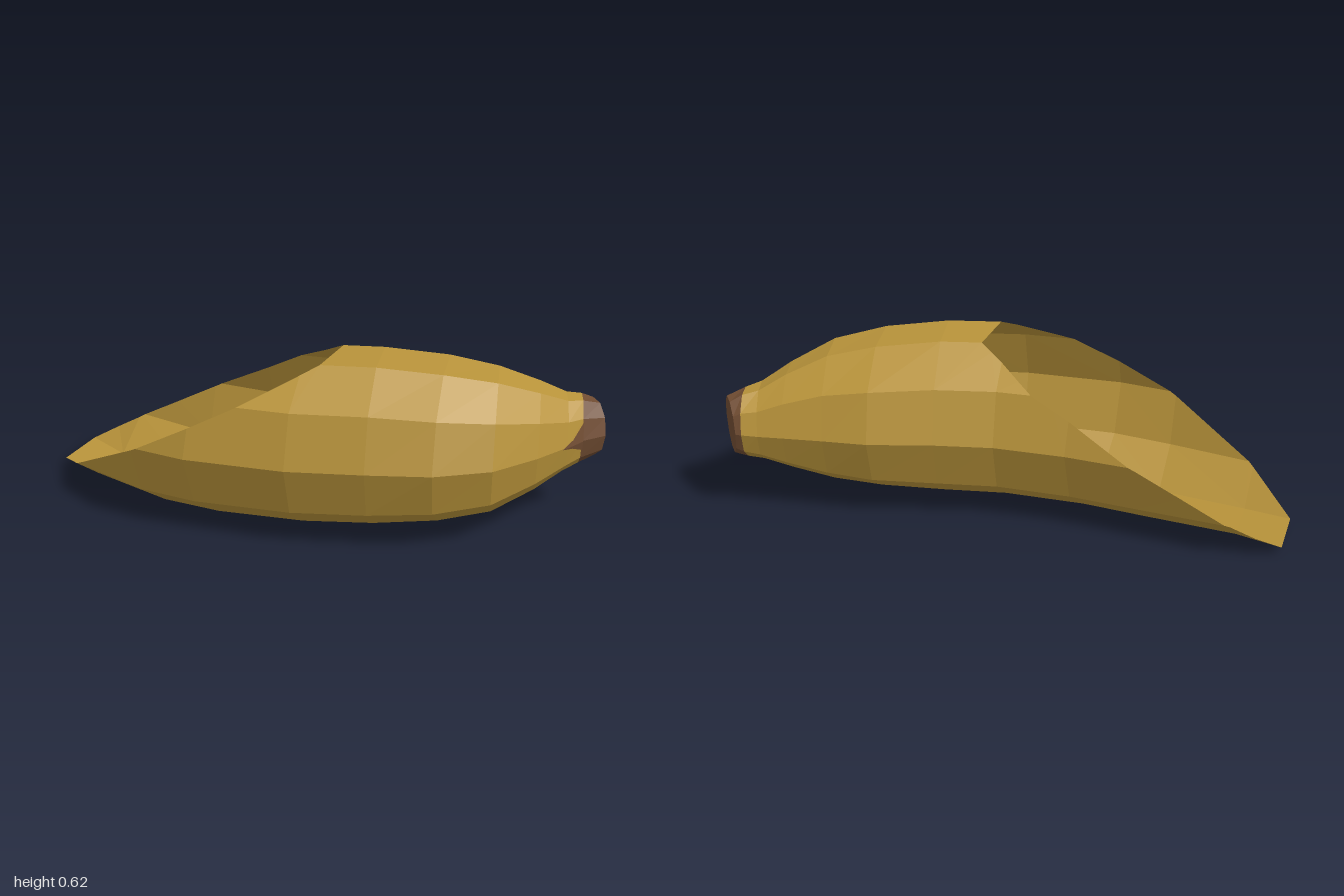
import * as THREE from 'three';

const SIDES = 10;

// Stations along the fruit: back point x,z / front point x,z / bottom y / top y
const STATIONS = [
  [-1.0, -0.32, -1.0, 0.34, 0.03, 0.61],
  [-0.83, -0.24, -0.83, 0.36, 0.018, 0.615],
  [-0.5, -0.212, -0.5, 0.432, 0.002, 0.62],
  [-0.25, -0.21, -0.28, 0.445, 0.008, 0.62],
  [0.0, -0.24, 0.08, 0.4, 0.02, 0.623],
  [0.2, -0.3, 0.34, 0.325, 0.03, 0.625],
  [0.42, -0.37, 0.55, 0.245, 0.05, 0.605],
  [0.58, -0.39, 0.72, 0.12, 0.08, 0.57],
  [0.72, -0.415, 0.83, -0.04, 0.14, 0.51],
  [0.81, -0.432, 0.9, -0.17, 0.19, 0.46],
  [0.865, -0.447, 0.935, -0.235, 0.208, 0.45],
  [0.885, -0.45, 1.0, -0.31, 0.23, 0.43],
];

// Elliptical ring with a flat bottom and top edge
function makeRing([bx, bz, fx, fz, y0, y1]) {
  const ring = [];
  for (let j = 0; j < SIDES; j++) {
    const t = ((j + 0.5) / SIDES) * Math.PI * 2;
    const w = 0.5 + 0.5 * Math.sin(t);
    const h = (y1 - y0) / 2 / Math.cos(Math.PI / SIDES);
    ring.push(new THREE.Vector3(
      bx + (fx - bx) * w,
      (y0 + y1) / 2 - h * Math.cos(t),
      bz + (fz - bz) * w
    ));
  }
  return ring;
}

// Height above the slanted cut
const aboveCut = (p) => p.y - (0.03 + 0.536 * (p.x + 1)) - 1e-5;

// Keeps the part of a polygon below the cut and adds it as a triangle fan
function addClipped(out, polygon) {
  const kept = [];
  polygon.forEach((a, i) => {
    const b = polygon[(i + 1) % polygon.length];
    const da = aboveCut(a), db = aboveCut(b);
    if (da <= 0) kept.push(a);
    if (da * db < 0) kept.push(a.clone().lerp(b, da / (da - db)));
  });
  for (let i = 1; i < kept.length - 1; i++) out.push(kept[0], kept[i], kept[i + 1]);
}

// Skin between consecutive rings
function addSkin(out, rings) {
  for (let i = 0; i < rings.length - 1; i++) {
    for (let j = 0; j < SIDES; j++) {
      const k = (j + 1) % SIDES;
      const a = rings[i][j], b = rings[i + 1][j], c = rings[i + 1][k], d = rings[i][k];
      addClipped(out, [a, b, c]);
      addClipped(out, [a, c, d]);
    }
  }
}

function makeMesh(name, points, material) {
  const geometry = new THREE.BufferGeometry().setFromPoints(points);
  geometry.computeVertexNormals();
  const mesh = new THREE.Mesh(geometry, material);
  mesh.name = name;
  return mesh;
}

export function createModel() {
  const peel = new THREE.MeshStandardMaterial({ color: 0xb8933a, flatShading: true, side: THREE.DoubleSide });
  peel.name = 'yellow peel';
  const brown = new THREE.MeshStandardMaterial({ color: 0x704c32, flatShading: true, side: THREE.DoubleSide });
  brown.name = 'brown stem';

  const group = new THREE.Group();
  group.name = 'cutBanana';
  const rings = STATIONS.map(makeRing);
  const last = rings.length - 1;

  // Hollow peel, open along the slanted cut
  const skin = [];
  addSkin(skin, rings.slice(0, last));
  group.add(makeMesh('peel', skin, peel));

  // Stem end: tapering collar and flat cap
  const stem = [];
  addSkin(stem, rings.slice(last - 1));
  const end = rings[last];
  for (let j = 1; j < SIDES - 1; j++) stem.push(end[0], end[j], end[j + 1]);
  group.add(makeMesh('stemEnd', stem, brown));

  // Thin brown streak running from the stem along the front side
  const front = 2; // index of the foremost vertex in each ring
  const lift = new THREE.Vector3(0.004, 0, 0.003);
  const onPeel = (ring, side, amount, back) =>
    rings[ring][front].clone().lerp(rings[ring][front + side], amount)
      .lerp(rings[ring - 1][front], back).add(lift);
  const low = onPeel(last - 1, -1, 0.5, 0);
  const high = onPeel(last - 1, 1, 0.9, 0);
  const root = onPeel(last - 1, 1, 0, 0);
  const tip = onPeel(last - 2, 1, 0, 0.2);
  const bend = onPeel(last - 2, 1, 0, 0);
  group.add(makeMesh('stemStreak', [low, root, bend, root, high, bend,
    low.clone().lerp(bend, 0.7), bend, tip, bend, high.clone().lerp(bend, 0.7), tip], brown));

  return group;
}
